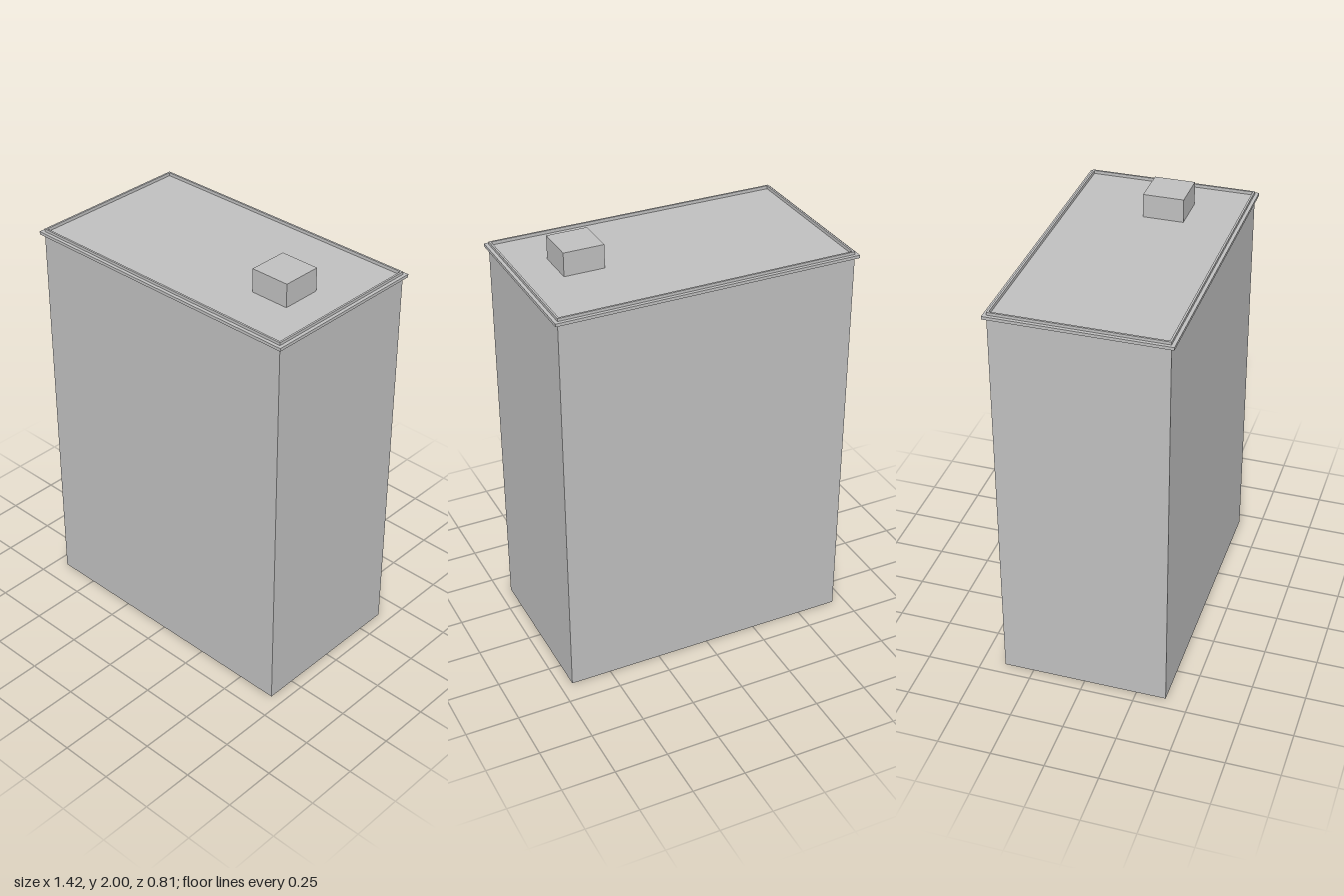
import * as THREE from 'three';

const W = 0.692, D = 0.39;            // half width and half depth of the block
const LEDGE_Y = 1.878, ROOF_Y = 1.89, PARAPET_Y = 1.905;

export function createModel() {
  const group = new THREE.Group();
  const concrete = new THREE.MeshStandardMaterial({ color: 0xbfbfbf, side: THREE.DoubleSide });
  concrete.name = 'concrete grey';

  const add = (name, geometry, x = 0, y = 0, z = 0) => {
    const mesh = new THREE.Mesh(geometry, concrete);
    mesh.name = name;
    mesh.position.set(x, y, z);
    group.add(mesh);
    return mesh;
  };

  const corners = (w, d) => [[-w, -d], [w, -d], [w, d], [-w, d]].map(([x, y]) => new THREE.Vector2(x, y));

  // Rectangular frame lying flat, from y0 to y1
  const frame = (name, outW, outD, inW, inD, y0, y1) => {
    const shape = new THREE.Shape(corners(outW, outD));
    shape.holes.push(new THREE.Path(corners(inW, inD).reverse()));
    const geometry = new THREE.ExtrudeGeometry(shape, { depth: y1 - y0, bevelEnabled: false });
    geometry.rotateX(-Math.PI / 2);
    add(name, geometry, 0, y0, 0);
  };

  // Four thin walls, open at the bottom
  ['frontWall', 'leftWall', 'backWall', 'rightWall'].forEach((name, i) => {
    const side = i % 2 === 1;
    const angle = i * Math.PI / 2;
    const reach = side ? W : D;
    const wall = add(name, new THREE.PlaneGeometry(side ? 2 * D : 2 * W, LEDGE_Y),
      Math.sin(angle) * reach, LEDGE_Y / 2, Math.cos(angle) * reach);
    wall.rotation.y = angle;
  });

  // Cornice and parapet around the roof edge
  frame('cornice', W + 0.016, D + 0.016, W - 0.004, D - 0.004, LEDGE_Y, 1.892);
  frame('parapet', W, D, W - 0.009, D - 0.009, LEDGE_Y, PARAPET_Y);

  // Flat roof sunk behind the parapet
  add('roof', new THREE.PlaneGeometry(2 * W - 0.018, 2 * D - 0.018).rotateX(-Math.PI / 2), 0, ROOF_Y, 0);

  // Rooftop housing
  add('roofHousing', new THREE.BoxGeometry(0.188, 2 - ROOF_Y, 0.187), 0.421, (2 + ROOF_Y) / 2, 0.058);

  return group;
}
